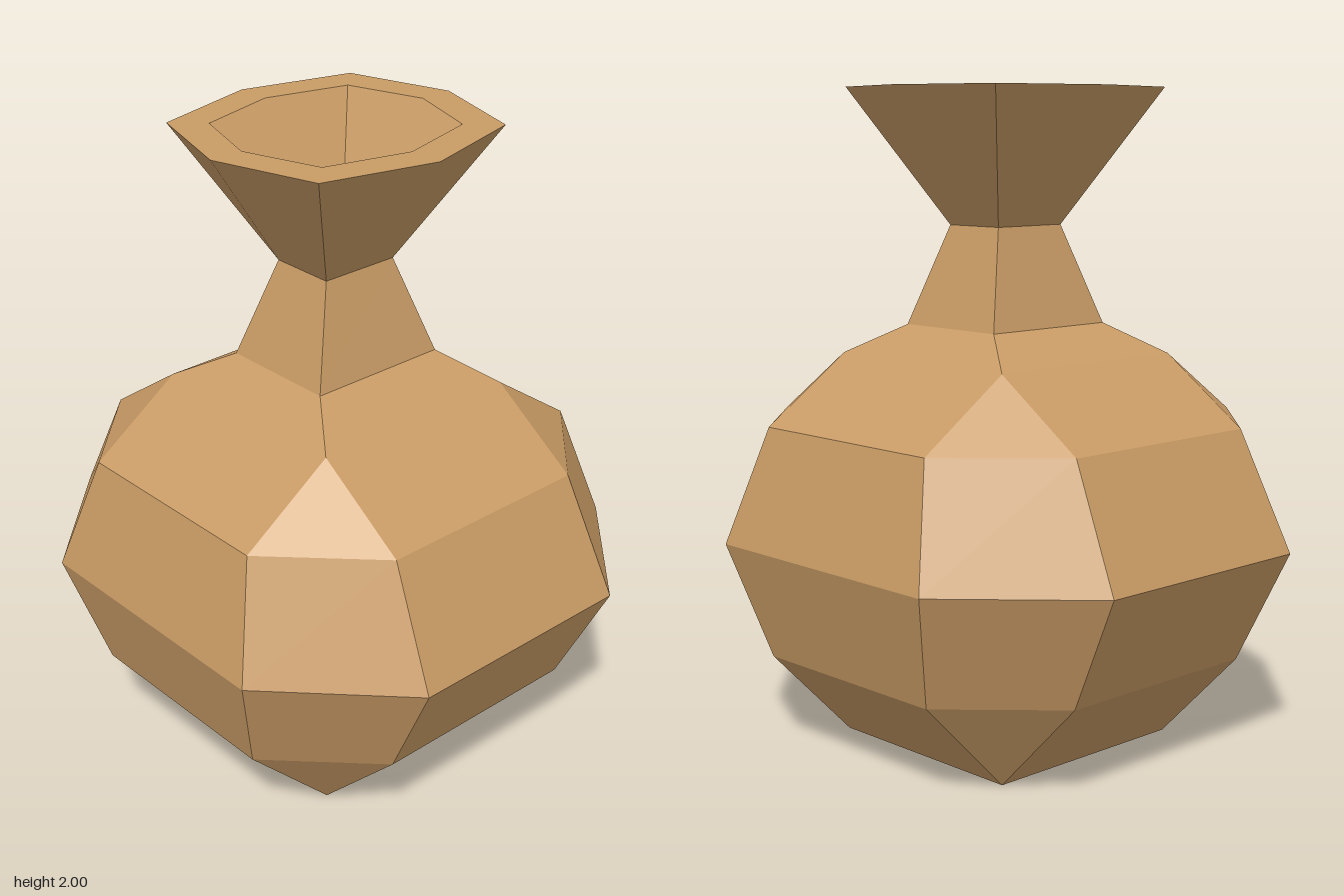
import * as THREE from 'three';

// Corner signs, counter-clockwise from above, starting at the front right
const CORNERS = [[-1, 1], [1, 1], [1, -1], [-1, -1]];

// Four-point rectangular ring
const square = (x, z, y) => CORNERS.map(([sx, sz]) => [sx * x, y, sz * z]);

// Eight-point ring with cut corners: deep = point near the z extreme, wide = near the x extreme
const octagon = (deep, wide, y) => CORNERS.flatMap(([sx, sz], k) => {
  const pair = [[sx * deep[0], y, sz * deep[1]], [sx * wide[0], y, sz * wide[1]]];
  return k % 2 ? pair : pair.reverse();
});

// Eight-point rim: rectangle corners alternating with bowed side midpoints
const rim = (x, z, midX, midZ, y) => {
  const mids = [[0, y, midZ], [midX, y, 0], [0, y, -midZ], [-midX, y, 0]];
  return square(x, z, y).flatMap((c, k) => [c, mids[k]]);
};

const at = (ring, i) => ring[i % ring.length];

// Wall of quads between two rings of equal count
const wall = (a, b) => a.map((p, i) => [p, at(a, i + 1), at(b, i + 1), b[i]]);

// Flat polygons, each with one averaged face normal
function facets(faces) {
  const pos = [], nor = [];
  for (const face of faces) {
    const v = face.map((p) => new THREE.Vector3(...p));
    const n = new THREE.Vector3();
    v.forEach((p, i) => n.add(p.clone().cross(at(v, i + 1))));
    n.normalize();
    for (let i = 1; i < v.length - 1; i++) {
      for (const p of [v[0], v[i], v[i + 1]]) {
        pos.push(p.x, p.y, p.z);
        nor.push(n.x, n.y, n.z);
      }
    }
  }
  const g = new THREE.BufferGeometry();
  g.setAttribute('position', new THREE.Float32BufferAttribute(pos, 3));
  g.setAttribute('normal', new THREE.Float32BufferAttribute(nor, 3));
  return g;
}

export function createModel() {
  const group = new THREE.Group();
  const clay = new THREE.MeshStandardMaterial({ color: 0xc89b65 });
  clay.name = 'tan clay';
  const add = (name, faces) => {
    const mesh = new THREE.Mesh(facets(faces), clay);
    mesh.name = name;
    group.add(mesh);
  };

  // Rings from the foot up to the mouth
  const foot = square(0.35, 0.35, 0);
  const lower = octagon([0.35, 0.64], [0.64, 0.35], 0.295);
  const belly = octagon([0.44, 0.742], [0.81, 0.38], 0.645);
  const upper = octagon([0.35, 0.64], [0.64, 0.35], 1.0);
  const shoulder = square(0.35, 0.35, 1.2);
  const neckBase = square(0.19, 0.23, 1.29);
  const throat = square(0.105, 0.13, 1.59);
  const outerRim = rim(0.325, 0.35, 0.418, 0.449, 2);
  const innerRim = rim(0.24, 0.263, 0.31, 0.342, 2);
  const well = square(0.025, 0.045, 1.59);

  // Body: foot and shoulder squares open out to the octagons through corner triangles
  const body = [[...foot].reverse(), ...wall(lower, belly), ...wall(belly, upper)];
  for (let k = 0; k < 4; k++) {
    const i = 2 * k;
    body.push([foot[k], at(foot, k + 1), at(lower, i + 2), lower[i + 1]]);
    body.push([foot[k], lower[i + 1], lower[i]]);
    body.push([upper[i + 1], at(upper, i + 2), at(shoulder, k + 1), shoulder[k]]);
    body.push([upper[i], upper[i + 1], shoulder[k]]);
  }
  add('body', body);
  add('shoulder', wall(shoulder, neckBase));
  add('neck', wall(neckBase, throat));

  // Flared mouth: five-sided panels outside and inside
  const outside = [], inside = [[...well]];
  for (let k = 0; k < 4; k++) {
    const i = 2 * k;
    outside.push([outerRim[i + 1], outerRim[i], throat[k], at(throat, k + 1), at(outerRim, i + 2)]);
    inside.push([innerRim[i + 1], at(innerRim, i + 2), at(well, k + 1), well[k], innerRim[i]]);
  }
  add('mouth', outside);
  add('mouthInside', inside);
  add('lip', wall(outerRim, innerRim));

  return group;
}
